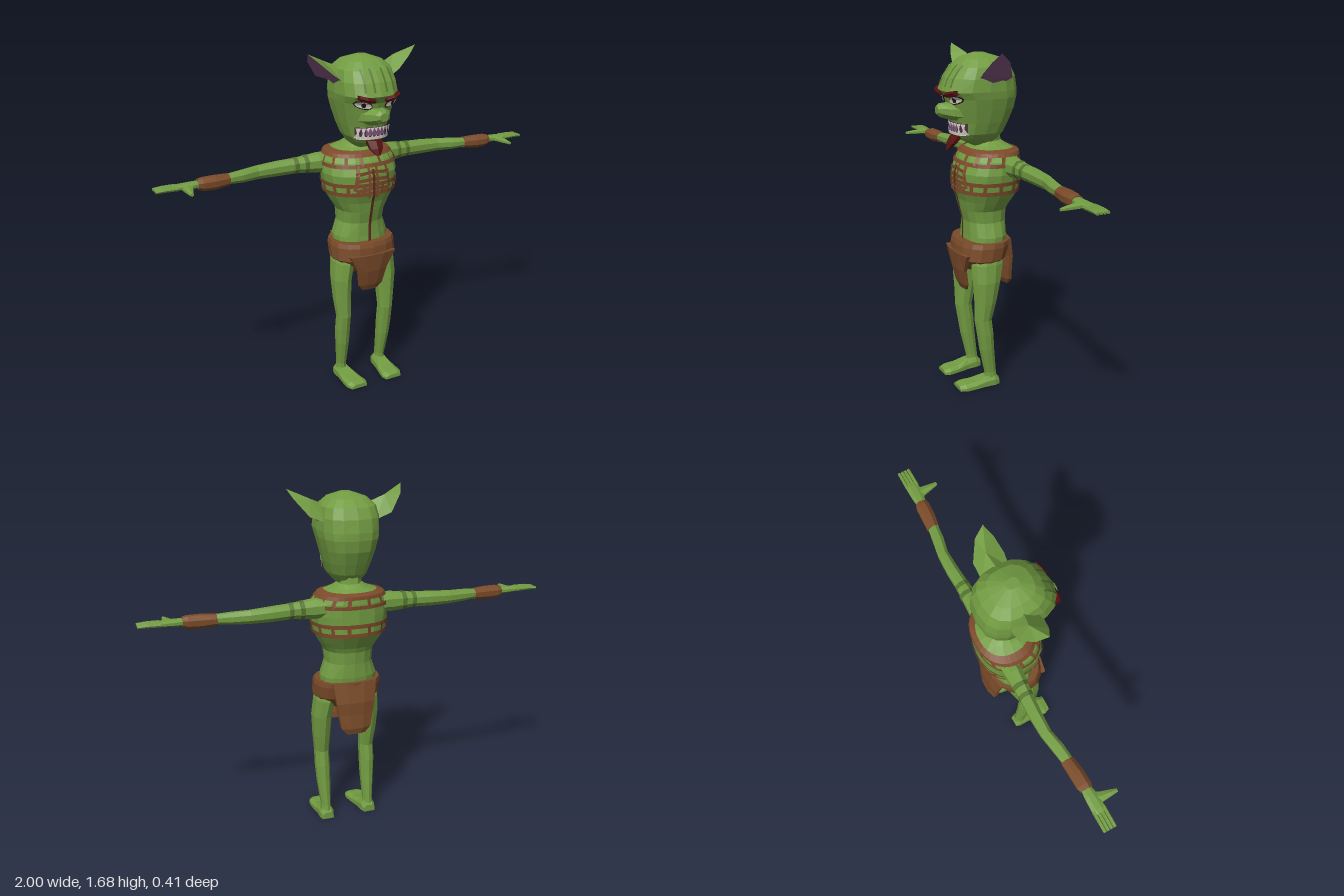
import * as THREE from 'three';

const mat = (name, color, open) => {
  const m = new THREE.MeshStandardMaterial({ color, flatShading: true });
  if (open) m.side = THREE.DoubleSide;
  m.name = name;
  return m;
};

export function createModel() {
  const skin = mat('skin', 0x729c42, true);
  const darkSkin = mat('darkSkin', 0x55752f, true);
  const leather = mat('leather', 0x7a4b29);
  const strap = mat('strap', 0x7c4a2a, true);
  const seam = mat('seam', 0x5c2a1a, true);
  const darkRed = mat('darkRed', 0x561210, true);
  const purple = mat('earInner', 0x80537c, true);
  const ivory = mat('ivory', 0xd5d0c8, true);
  const black = mat('black', 0x1c1512, true);
  const mouthMat = mat('mouth', 0x4a2c3c, true);

  const model = new THREE.Group();
  model.name = 'goblin';
  const add = (name, geo, material) => {
    const m = new THREE.Mesh(geo, material);
    m.name = name;
    model.add(m);
  };

  const fromTris = (tris) => {
    const g = new THREE.BufferGeometry().setFromPoints(tris.flat());
    g.computeVertexNormals();
    return g;
  };

  // Quads between neighbouring rows of points
  const strip = (rows, closed) => {
    const tris = [], n = rows[0].length;
    for (let i = 0; i < rows.length - 1; i++) for (let j = 0; j < (closed ? n : n - 1); j++) {
      const k = (j + 1) % n, a = rows[i], b = rows[i + 1];
      tris.push([a[j], a[k], b[k]], [a[j], b[k], b[j]]);
    }
    return tris;
  };

  // Skin a list of rings and close both ends; faces are turned outwards
  const skinRings = (rings) => {
    const tris = strip(rings, true), n = rings[0].length;
    const cap = (r, flip) => {
      const c = r.reduce((s, p) => s.add(p), new THREE.Vector3()).divideScalar(n);
      for (let j = 0; j < n; j++) {
        const k = (j + 1) % n;
        tris.push(flip ? [c, r[k], r[j]] : [c, r[j], r[k]]);
      }
    };
    cap(rings[0], true);
    cap(rings[rings.length - 1], false);
    const volume = tris.reduce((s, [a, b, c]) => s + a.dot(b.clone().cross(c)), 0);
    if (volume < 0) tris.forEach((t) => t.reverse());
    return fromTris(tris);
  };

  // Sections are [x, y, z, radius1, radius2], perpendicular to the given axis
  const loft = (axis, sections, n = 8) => skinRings(sections.map(([x, y, z, u, v]) =>
    Array.from({ length: n }, (_, j) => {
      const t = ((j + 0.5) / n) * Math.PI * 2, p = u * Math.cos(t), q = v * Math.sin(t);
      if (axis === 'x') return new THREE.Vector3(x, y + p, z + q);
      if (axis === 'y') return new THREE.Vector3(x + p, y, z + q);
      return new THREE.Vector3(x + p, y + q, z);
    })));

  // A body surface from rows [y, halfWidth, zFront, zBack], rounded by power p
  const body = (rows, p, n) => {
    const row = (y) => {
      let i = 0;
      while (i < rows.length - 2 && y > rows[i + 1][0]) i++;
      const t = (y - rows[i][0]) / (rows[i + 1][0] - rows[i][0]);
      return rows[i].map((v, k) => v + (rows[i + 1][k] - v) * t);
    };
    const pw = (v) => Math.sign(v) * Math.abs(v) ** (2 / p);
    const at = (a, y, off = 0) => {
      const [, w, f, b] = row(y);
      return new THREE.Vector3((w + off) * pw(Math.sin(a)), y, (f + b) / 2 + ((f - b) / 2 + off) * pw(Math.cos(a)));
    };
    const front = (x, y, off = 0.006) =>
      at(Math.sign(x) * Math.asin(Math.min(1, Math.abs(x) / row(y)[1]) ** (p / 2)), y, off);
    const loop = (y, off, count) => Array.from({ length: count }, (_, j) => at((j / count) * Math.PI * 2, y, off));
    return { at, front, loop, geometry: skinRings(rows.map((r) => loop(r[0], 0, n))) };
  };

  // Thin band along a line of points, lying on an upright surface
  const ribbon = (pts, width) => {
    const sides = pts.map((p, i) => {
      const t = pts[Math.min(i + 1, pts.length - 1)].clone().sub(pts[Math.max(i - 1, 0)]);
      const s = new THREE.Vector3(p.x, 0, p.z + 0.05).cross(t).setLength(width / 2);
      return [p.clone().add(s), p.clone().sub(s)];
    });
    return fromTris(strip(sides, false));
  };
  const line = (surface, x0, y0, x1, y1, n = 5, off = 0.006) => Array.from({ length: n + 1 }, (_, i) =>
    surface.front(x0 + (x1 - x0) * i / n, y0 + (y1 - y0) * i / n, off));
  const fan = (c, pts) => fromTris(pts.map((p, i) => [c, p, pts[(i + 1) % pts.length]]));

  // Torso and neck
  const torso = body([[0.70, 0.14, 0.07, -0.13], [0.78, 0.14, 0.065, -0.14], [0.85, 0.115, 0.065, -0.14],
    [0.91, 0.12, 0.08, -0.145], [0.935, 0.135, 0.085, -0.155], [0.96, 0.15, 0.09, -0.17], [1.0, 0.172, 0.105, -0.195],
    [1.1, 0.188, 0.105, -0.195], [1.16, 0.18, 0.08, -0.195], [1.2, 0.15, 0.05, -0.19], [1.222, 0.085, 0.02, -0.15],
    [1.24, 0.06, 0, -0.125]], 2.3, 16);
  add('torso', torso.geometry, skin);
  add('neck', loft('y', [[0, 1.19, -0.075, 0.085, 0.09], [0, 1.24, -0.06, 0.055, 0.066], [0, 1.32, -0.04, 0.06, 0.07]]), skin);

  // Chest harness: a ladder band and a collar around the body, ribs in front
  const hoops = [[1.002, 1.021], [1.046, 1.065], [1.137, 1.155], [1.184, 1.2, 1.212]];
  for (const ys of hoops)
    add('harnessBand', fromTris(strip(ys.map((y) => torso.loop(y, y > 1.18 ? 0.011 : 0.006, 32)), true)), strap);
  for (const [lo, hi] of [[1.01, 1.055], [1.147, 1.192]]) for (let i = 0; i < 14; i++) {
    const a = ((i + 0.5) / 14) * Math.PI * 2;
    add('harnessLink', ribbon([torso.at(a, lo, 0.006), torso.at(a, hi, 0.007)], 0.018), strap);
  }
  for (const s of [-1, 1]) {
    add('harnessUpright', ribbon(line(torso, 0.02 * s, 0.99, 0.02 * s, 1.15), 0.014), strap);
    add('harnessSide', ribbon(line(torso, 0.09 * s, 1.03, 0.07 * s, 1.15), 0.018), strap);
    for (const y of [1.037, 1.085, 1.117])
      add('harnessRib', ribbon(line(torso, 0, y, 0.085 * s, y - 0.008), 0.017), strap);
  }
  add('frontSeam', ribbon(line(torso, 0, 0.74, 0, 1.13, 12, 0.008), 0.014), seam);

  // Loincloth with front and back flaps
  add('loincloth', body([[0.6, 0.06, 0.06, -0.08], [0.645, 0.14, 0.1, -0.11], [0.672, 0.167, 0.12, -0.133],
    [0.735, 0.168, 0.114, -0.152], [0.757, 0.162, 0.106, -0.153]], 2.3, 16).geometry, leather);
  add('frontFlap', loft('y', [[0, 0.5, 0.07, 0.045, 0.012], [0, 0.53, 0.078, 0.07, 0.018],
    [0, 0.61, 0.094, 0.085, 0.022], [0, 0.7, 0.1, 0.135, 0.026]]), leather);
  add('backFlap', loft('y', [[0, 0.5, -0.155, 0.05, 0.014], [0, 0.53, -0.153, 0.08, 0.024],
    [0, 0.6, -0.148, 0.095, 0.022], [0, 0.66, -0.148, 0.105, 0.022], [0, 0.76, -0.13, 0.12, 0.02]]), leather);

  // Head
  const head = body([[1.22, 0.04, 0.02, -0.08], [1.26, 0.075, 0.1, -0.11], [1.285, 0.092, 0.118, -0.13],
    [1.34, 0.11, 0.118, -0.155], [1.4, 0.126, 0.135, -0.18], [1.455, 0.14, 0.148, -0.19], [1.49, 0.145, 0.18, -0.19],
    [1.55, 0.143, 0.155, -0.18], [1.6, 0.13, 0.12, -0.155], [1.635, 0.092, 0.08, -0.115], [1.658, 0.025, 0.02, -0.04]], 2.6, 16);
  add('head', head.geometry, skin);
  add('muzzle', loft('z', [[0, 1.39, 0.08, 0.095, 0.05], [0, 1.392, 0.14, 0.072, 0.042],
    [0, 1.398, 0.185, 0.04, 0.034], [0, 1.4, 0.203, 0.024, 0.02]]), skin);
  add('goatee', loft('y', [[0, 1.21, 0.15, 0.012, 0.008], [0, 1.24, 0.128, 0.038, 0.022], [0, 1.275, 0.1, 0.045, 0.03]], 6), darkRed);

  // Mouth with tongue, gums and two rows of pointed teeth
  add('mouth', ribbon(line(head, -0.083, 1.312, 0.083, 1.312, 10), 0.056), mouthMat);
  add('tongue', ribbon(line(head, -0.045, 1.318, 0.045, 1.318, 4, 0.009), 0.034), purple);
  add('lowerGum', ribbon(line(head, -0.076, 1.29, 0.076, 1.29, 10, 0.011), 0.014), ivory);
  for (let i = -4; i <= 4; i++) for (const s of [-1, 1]) {
    const x = i * 0.0182, y = 1.313 + s * 0.026, w = 0.0091, tip = Math.abs(i) > 2 ? 0.036 : 0.02;
    add('tooth', fromTris([[head.front(x - w, y, 0.012), head.front(x + w, y, 0.012),
      head.front(x, y - s * tip, 0.014)]]), ivory);
  }

  for (const s of [-1, 1]) {
    const v = (x, y, z) => new THREE.Vector3(x * s, y, z);
    const X = (rows, n) => loft('x', rows.map(([x, ...r]) => [x * s, ...r]), n);

    // Eyes with dark rims, heavy brows and forehead folds
    const eyePlate = (name, r, h, off, material) => add(name, fan(head.front(s * 0.07, 1.452, off),
      Array.from({ length: 10 }, (_, i) => {
        const t = (i / 10) * Math.PI * 2;
        return head.front(s * (0.07 + r * Math.cos(t)), 1.452 + h * Math.sin(t) + r * 0.25 * Math.cos(t), off);
      })), material);
    eyePlate('eyeRim', 0.041, 0.021, 0.006, black);
    eyePlate('eye', 0.036, 0.016, 0.009, ivory);
    eyePlate('pupil', 0.01, 0.012, 0.012, black);
    add('brow', X([[0.028, 1.473, 0.166, 0.011, 0.014], [0.07, 1.48, 0.164, 0.015, 0.018],
      [0.104, 1.49, 0.148, 0.012, 0.022]], 6), darkRed);
    for (const x of [0.03, 0.072])
      add('foreheadFold', ribbon(line(head, s * x, 1.51, s * x * 0.95, 1.61, 5, 0.004), 0.01), darkSkin);

    // Ear: green back and an inner face turned outwards and forwards
    const rim = [v(0.12, 1.545, 0.04), v(0.172, 1.58, 0.045), v(0.235, 1.636, 0.03), v(0.283, 1.68, 0.005),
      v(0.262, 1.638, -0.045), v(0.2, 1.56, -0.09), v(0.12, 1.53, -0.09)];
    add('earBack', fan(v(0.185, 1.637, -0.035), [...rim, v(0.1, 1.6, -0.02)]), skin);
    add('earInner', fan(v(0.185, 1.565, -0.015), [...rim, v(0.13, 1.52, -0.02)]), purple);

    // Arm with fold rings, bracer and hand
    add('arm', X([[0.12, 1.14, -0.105, 0.045, 0.05], [0.19, 1.138, -0.105, 0.05, 0.045], [0.3, 1.138, -0.11, 0.038, 0.034],
      [0.4, 1.135, -0.115, 0.037, 0.032], [0.5, 1.132, -0.115, 0.033, 0.028], [0.58, 1.13, -0.1, 0.03, 0.03],
      [0.68, 1.13, -0.088, 0.022, 0.026]]), skin);
    for (const [x, r] of [[0.246, 0.0458], [0.298, 0.0405]])
      add('armFold', X([[x, 1.138, -0.109, r, r - 0.0035], [x + 0.02, 1.138, -0.11, r - 0.0015, r - 0.005]]), darkSkin);
    add('bracer', X([[0.65, 1.128, -0.092, 0.028, 0.032], [0.72, 1.126, -0.085, 0.034, 0.036],
      [0.78, 1.127, -0.083, 0.032, 0.036], [0.802, 1.13, -0.082, 0.024, 0.03]]), leather);
    add('palm', X([[0.79, 1.13, -0.082, 0.018, 0.024], [0.84, 1.131, -0.08, 0.016, 0.032],
      [0.9, 1.132, -0.08, 0.012, 0.034], [0.92, 1.132, -0.08, 0.009, 0.032]]), skin);
    for (let i = 0; i < 4; i++) {
      const z = -0.104 + i * 0.0165;
      add('finger', X([[0.9, 1.132, z, 0.01, 0.009], [0.96, 1.133, z, 0.009, 0.0085], [1, 1.131, z, 0.007, 0.008]], 6), skin);
    }
    add('thumb', loft('z', [[0.85 * s, 1.13, -0.075, 0.038, 0.013], [0.859 * s, 1.128, -0.04, 0.026, 0.012],
      [0.863 * s, 1.126, 0, 0.017, 0.011], [0.867 * s, 1.124, 0.035, 0.009, 0.007]], 6), skin);

    // Leg and foot
    add('leg', loft('y', [[0.115, 0.02, -0.03, 0.028, 0.034], [0.114, 0.07, -0.025, 0.025, 0.032],
      [0.118, 0.2, -0.003, 0.035, 0.04], [0.12, 0.28, 0.006, 0.038, 0.044], [0.12, 0.36, 0.018, 0.037, 0.046],
      [0.123, 0.45, 0.008, 0.044, 0.058], [0.124, 0.56, 0, 0.049, 0.074], [0.112, 0.65, -0.008, 0.051, 0.086],
      [0.1, 0.71, -0.01, 0.045, 0.08]].map(([x, ...r]) => [x * s, ...r]), 10), skin);
    const foot = (z, x, w, h) => [v(x - w, 0, z), v(x + w, 0, z), v(x + w, h * 0.55, z), v(x + w * 0.6, h, z),
      v(x - w * 0.6, h, z), v(x - w, h * 0.55, z)];
    add('foot', skinRings([foot(-0.066, 0.113, 0.028, 0.035), foot(-0.04, 0.113, 0.036, 0.055), foot(0.01, 0.11, 0.038, 0.048),
      foot(0.07, 0.106, 0.048, 0.033), foot(0.12, 0.102, 0.053, 0.029), foot(0.15, 0.1, 0.042, 0.02)]), skin);
  }
  return model;
}
